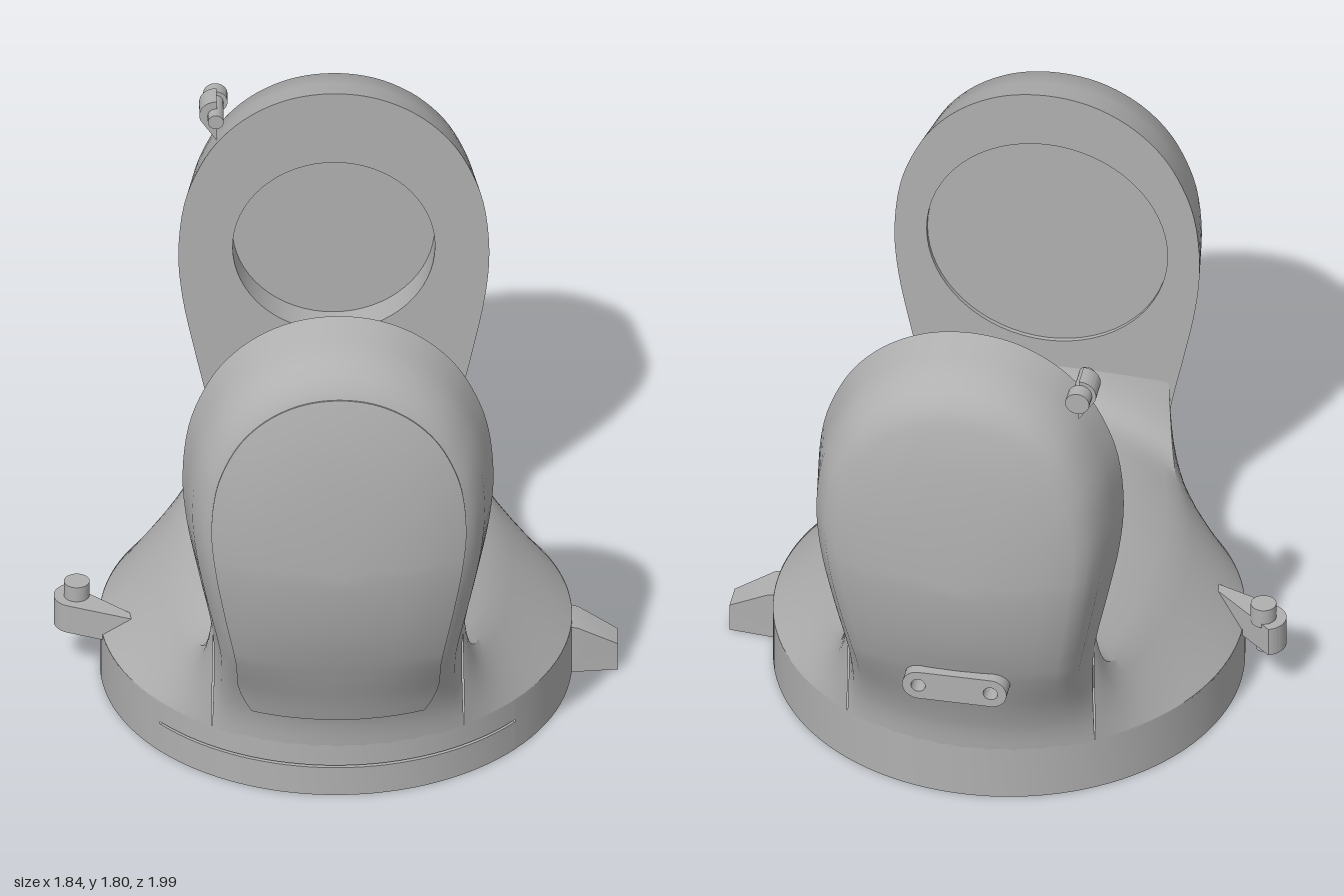
import * as THREE from 'three';
import { toCreasedNormals } from 'three/addons/utils/BufferGeometryUtils.js';

const grey = new THREE.MeshStandardMaterial({ color: 0xb0b0b0, side: THREE.DoubleSide });
grey.name = 'grey';

const lerp = THREE.MathUtils.lerp;
const INNER = 0.65; // inner face of each arm
const BASE_R = 0.77;

// Piecewise linear lookup in [[key, value], ...]
function lookup(table, k) {
  if (k <= table[0][0]) return table[0][1];
  for (let i = 1; i < table.length; i++) {
    const [k0, v0] = table[i - 1], [k1, v1] = table[i];
    if (k <= k1) return lerp(v0, v1, (k - k0) / (k1 - k0));
  }
  return table[table.length - 1][1];
}

// Grid surface from a point rule
function grid(nu, nv, rule) {
  const pos = [], idx = [];
  for (let i = 0; i <= nu; i++) for (let j = 0; j <= nv; j++) pos.push(...rule(i, j));
  for (let i = 0; i < nu; i++) for (let j = 0; j < nv; j++) {
    const a = i * (nv + 1) + j, c = a + 1, b = a + nv + 1, d = b + 1;
    idx.push(a, b, d, a, d, c);
  }
  const g = new THREE.BufferGeometry();
  g.setAttribute('position', new THREE.Float32BufferAttribute(pos, 3));
  g.setIndex(idx);
  return g;
}

function add(parent, name, geometry, crease = 0.5) {
  const m = new THREE.Mesh(toCreasedNormals(geometry, crease), grey);
  m.name = name;
  parent.add(m);
  return m;
}

// Arm outline, right half mirrored to the left
const half = [[0.41, 0.19], [0.405, 0.36], [0.405, 0.52], [0.417, 0.62], [0.455, 0.8], [0.493, 1.0],
  [0.507, 1.18], [0.488, 1.37], [0.435, 1.52], [0.365, 1.63], [0.265, 1.72], [0.14, 1.78]];
const outlinePts = [...half, [0, 1.8], ...half.slice().reverse().map(([x, y]) => [-x, y])];
const OUT = new THREE.SplineCurve(outlinePts.map(([x, y]) => new THREE.Vector2(x, y))).getPoints(96);

// Outer depth of the arm by height, and its cross-section (inset -> share of depth)
const depthAt = [[0.19, 0.77], [0.28, 0.782], [0.4, 0.825], [0.5, 0.867], [0.6, 0.906],
  [0.7, 0.94], [0.8, 0.965], [0.9, 0.983], [1, 0.994]];
const section = [[0, 1], [0.2, 0.99], [0.4, 0.965], [0.6, 0.915], [0.78, 0.84], [0.86, 0.77], [0.94, 0.56], [1, 0]];

// Point on the arm: p on the outline, s = 1 at the edge and 0 on the spine
function armPoint(p, s, lift = 0) {
  const y = p.y > 1 ? 1 + (p.y - 1) * s : p.y;
  const x = p.x * s;
  const d = lookup(depthAt, y) - INNER;
  const round = (Math.sqrt(BASE_R * BASE_R - x * x) - INNER) / (BASE_R - INNER);
  const f = lerp(round, lookup(section, s), THREE.MathUtils.smoothstep(y, 0.19, 0.62));
  return [x, y, INNER + d * f + lift];
}

// One upright arm with a round recess in its inner face
function makeArm(name, recessR, recessDepth) {
  const arm = new THREE.Group();
  arm.name = name;
  const insets = [1, 0.97, 0.94, 0.9, 0.86, 0.78, 0.6, 0.4, 0.2, 0];
  add(arm, 'armShell', grid(OUT.length - 1, insets.length - 1, (i, j) => armPoint(OUT[i], insets[j])), 0.55);

  const face = new THREE.Shape(OUT);
  const hole = new THREE.Path();
  hole.absarc(0, 1.2, recessR, 0, Math.PI * 2, true);
  face.holes.push(hole);
  add(arm, 'armInnerFace', new THREE.ShapeGeometry(face, 32).rotateY(Math.PI).translate(0, 0, INNER));
  const wall = new THREE.CylinderGeometry(recessR, recessR, recessDepth, 64, 1, true);
  wall.scale(-1, 1, 1).rotateX(Math.PI / 2).translate(0, 1.2, INNER + recessDepth / 2);
  wall.index.array.reverse();
  add(arm, 'recessWall', wall);
  add(arm, 'recessFloor', new THREE.CircleGeometry(recessR, 64).rotateY(Math.PI)
    .translate(0, 1.2, INNER + recessDepth));
  return arm;
}

// Raised cover on the front arm
function makeCover() {
  const low = 0.28;
  const pts = OUT.filter(p => p.y >= low);
  const rows = [0.82, 0.82, 0.7, 0.55, 0.4, 0.2, 0];
  return grid(pts.length - 1, rows.length - 1, (i, j) => {
    const p = pts[i];
    const drop = Math.max(0, (0.48 - p.y) / 0.2);
    return armPoint(p, rows[j] * (1 - 0.22 * drop * drop), j === 0 ? -0.01 : 0.005);
  });
}

// Tapered tongue with a round tip
function tongue(cx, cy, r, a0, a1, start, end, depth) {
  const s = new THREE.Shape();
  s.moveTo(...start);
  s.absarc(cx, cy, r, a0, a1, false);
  s.lineTo(...end);
  return new THREE.ExtrudeGeometry(s, { depth, bevelEnabled: false, curveSegments: 16 });
}

export function createModel() {
  const model = new THREE.Group();
  model.name = 'forkMount';

  // Base disc with a round socket underneath and a thin groove along the front
  const foot = [[0, 0.09], [0.33, 0.09], [0.33, 0], [BASE_R, 0]];
  const groove = [[BASE_R, 0.107], [0.755, 0.107], [0.755, 0.116], [BASE_R, 0.116]];
  const top = [[BASE_R, 0.195]];
  const lathe = (pts, seg, start, length) =>
    new THREE.LatheGeometry(pts.map(p => new THREE.Vector2(...p)), seg, start, length);
  add(model, 'baseFront', lathe([...foot, ...groove, ...top], 32, -0.85, 1.7));
  add(model, 'baseRest', lathe([...foot, ...top], 80, 0.85, Math.PI * 2 - 1.7));

  // Saddle between the arms: arched top, side slopes down to the base rim
  const nz = 48, nArch = 24, nSlope = 5;
  add(model, 'saddle', grid(nz, nArch + 2 * nSlope, (i, j) => {
    const v = Math.sin((i / nz - 0.5) * Math.PI), z = v * INNER, av = Math.abs(v);
    const edgeX = 0.53 - 0.125 * v * v;
    const edgeY = 0.415 + 0.27 * av ** 14;
    const midY = 0.603 - 0.014 * v + 0.11 * av ** 16;
    const k = j - nSlope - nArch / 2, over = Math.abs(k) - nArch / 2;
    if (over <= 0) {
      const u = k / (nArch / 2);
      return [edgeX * u, lerp(midY, edgeY, u * u), z];
    }
    const t = over / nSlope;
    return [Math.sign(k) * lerp(edgeX, Math.sqrt(BASE_R * BASE_R - z * z), t), lerp(edgeY, 0.19, t), z];
  }), 0.45);

  // Arms
  const front = makeArm('frontArm', 0.4, 0.015);
  add(front, 'frontCover', makeCover());
  const back = makeArm('backArm', 0.33, 0.11);
  back.rotation.y = Math.PI;
  model.add(front, back);

  // Side lug with upright pin
  add(model, 'sideLug', tongue(-0.85, 0, 0.07, 1.92, 4.36, [-0.6, 0.17], [-0.6, -0.17], 0.105)
    .rotateX(-Math.PI / 2).translate(0, 0.17, 0));
  add(model, 'sidePin', new THREE.CylinderGeometry(0.042, 0.042, 0.07, 24).translate(-0.845, 0.295, 0));
  add(model, 'sidePinEnd', new THREE.CylinderGeometry(0.025, 0.025, 0.04, 20).translate(-0.845, 0.17, 0));

  // Stop fin on the opposite side, wider at its root
  const finShape = new THREE.Shape([[0.7, 0], [0.92, 0], [0.92, 0.1], [0.79, 0.175], [0.7, 0.195]]
    .map(p => new THREE.Vector2(...p)));
  const fin = new THREE.ExtrudeGeometry(finShape, { depth: 0.09, bevelEnabled: false }).translate(0, 0, -0.045);
  const fp = fin.attributes.position;
  for (let i = 0; i < fp.count; i++) if (fp.getX(i) < 0.8) fp.setZ(i, fp.getZ(i) * 1.45);
  add(model, 'stopFin', fin);

  // Upper lug on the back arm with a cross pin
  add(model, 'upperLug', tongue(-0.385, 1.69, 0.053, 1.5, 3.5, [-0.25, 1.735], [-0.38, 1.59], 0.08)
    .translate(0, 0, -0.77));
  const pin = (r, z0, z1) => new THREE.CylinderGeometry(r, r, z1 - z0, 20)
    .rotateX(Math.PI / 2).translate(-0.385, 1.69, (z0 + z1) / 2);
  add(model, 'upperPin', pin(0.026, -0.8, -0.65));
  add(model, 'upperPinHead', pin(0.04, -0.82, -0.77));

  // Two-hole clip bar low on the back arm
  const bar = new THREE.Shape();
  bar.absarc(0.12, 0, 0.053, -Math.PI / 2, Math.PI / 2, false);
  bar.absarc(-0.12, 0, 0.053, Math.PI / 2, Math.PI * 1.5, false);
  for (const x of [-0.12, 0.12]) {
    const h = new THREE.Path();
    h.absarc(x, 0, 0.024, 0, Math.PI * 2, true);
    bar.holes.push(h);
  }
  add(model, 'clipBar', new THREE.ExtrudeGeometry(bar, { depth: 0.1, bevelEnabled: false, curveSegments: 16 })
    .translate(0, 0.555, -0.94));

  return model;
}
